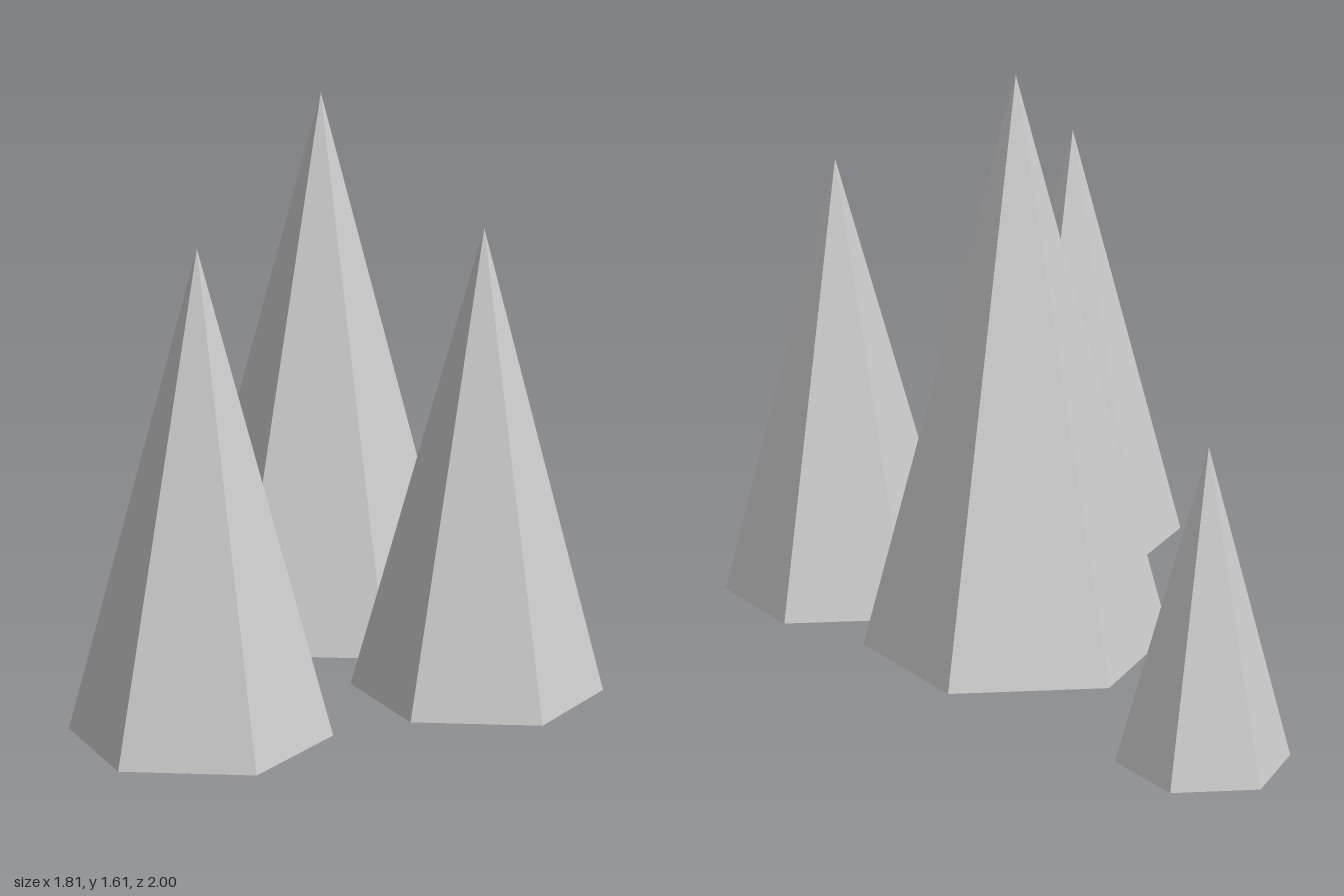
import * as THREE from 'three';

// One hexagonal, closed, flat-shaded spire per row
const SPIRES = [
  { name: 'tallSpire', x: -0.05, z: -0.303, radius: 0.42, base: 0.053, top: 1.607 },
  { name: 'leftSpire', x: 0.587, z: -0.01, radius: 0.345, base: 0.033, top: 1.3 },
  { name: 'frontSpire', x: 0.1, z: 0.656, radius: 0.345, base: 0.033, top: 1.3 },
  { name: 'smallSpire', x: -0.702, z: -0.781, radius: 0.22, base: 0, top: 0.808 },
];
const TURN = -0.108; // shared twist about the vertical axis

export function createModel() {
  const group = new THREE.Group();
  group.name = 'spireCluster';
  const material = new THREE.MeshStandardMaterial({ color: 0xcccccc, flatShading: true });

  for (const { name, x, z, radius, base, top } of SPIRES) {
    const spire = new THREE.Mesh(new THREE.ConeGeometry(radius, top - base, 6), material);
    spire.name = name;
    spire.position.set(x, (base + top) / 2, z);
    spire.rotation.y = TURN;
    group.add(spire);
  }
  return group;
}
